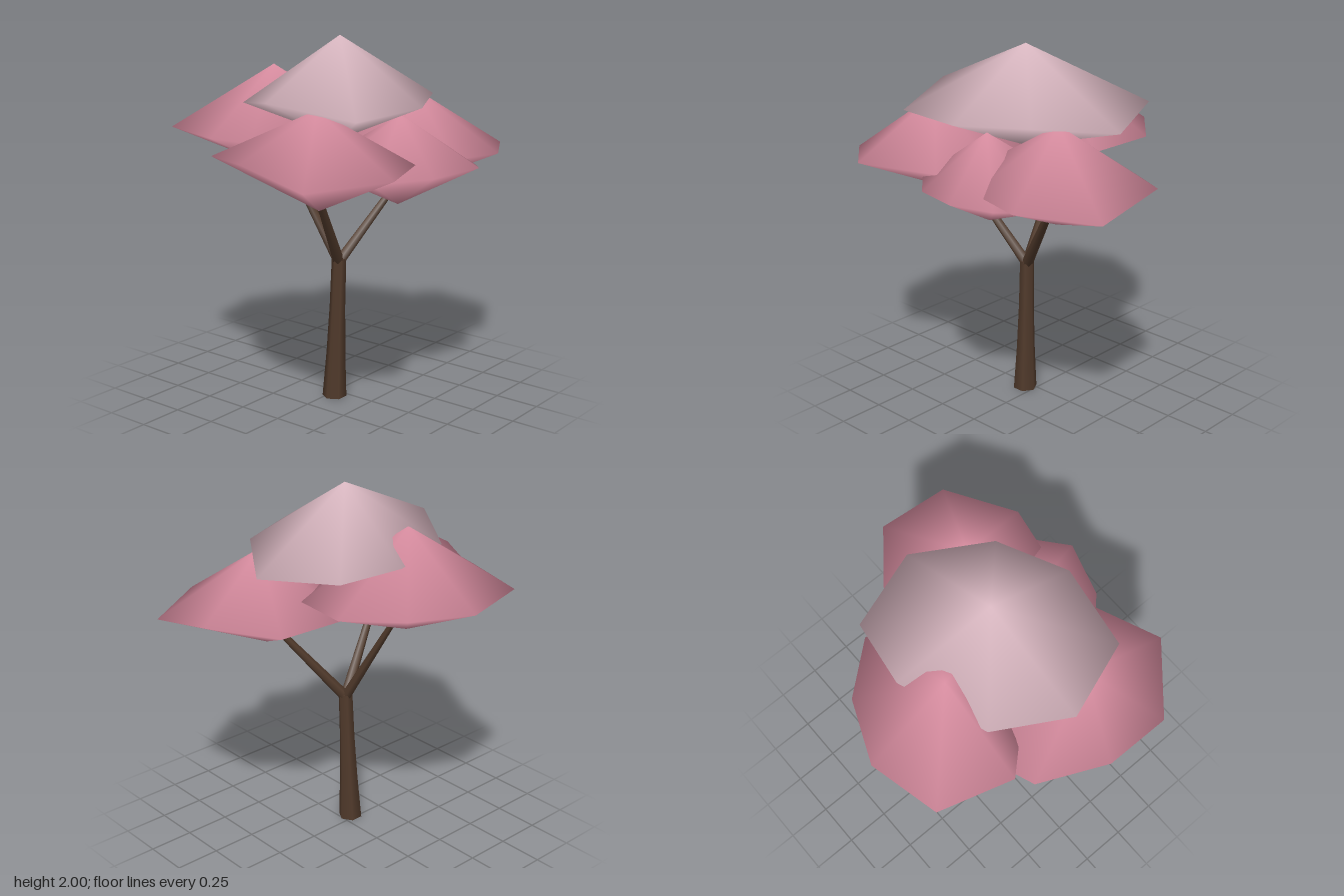
import * as THREE from 'three';

const blossom = new THREE.MeshStandardMaterial({ name: 'blossom pink', color: 0xe092a6 });
const paleBlossom = new THREE.MeshStandardMaterial({ name: 'pale blossom', color: 0xe2bfc9 });
const bark = new THREE.MeshStandardMaterial({ name: 'bark brown', color: 0x523b2c });

// Lens-shaped foliage: an uneven eight-point rim between a top and a bottom point.
// The rim runs from +x towards +z.
function puff(name, material, top, bottom, rim) {
  const n = rim.length;
  const index = [];
  for (let i = 0; i < n; i++) {
    const j = (i + 1) % n;
    index.push(n, j, i, n + 1, i, j);
  }
  const geometry = new THREE.BufferGeometry();
  geometry.setAttribute('position', new THREE.Float32BufferAttribute([...rim, top, bottom].flat(), 3));
  geometry.setIndex(index);
  geometry.computeVertexNormals();
  const mesh = new THREE.Mesh(geometry, material);
  mesh.name = name;
  return mesh;
}

// Tapered six-sided branch between two points
function branch(name, from, to) {
  const a = new THREE.Vector3(...from), b = new THREE.Vector3(...to);
  const dir = b.clone().sub(a);
  const mesh = new THREE.Mesh(new THREE.CylinderGeometry(0.016, 0.031, dir.length(), 6), bark);
  mesh.position.copy(a).add(b).multiplyScalar(0.5);
  mesh.quaternion.setFromUnitVectors(new THREE.Vector3(0, 1, 0), dir.normalize());
  mesh.name = name;
  return mesh;
}

// Six-sided trunk, flared at the foot and leaning slightly
function trunk() {
  const height = 0.79;
  const geometry = new THREE.CylinderGeometry(1, 1, height, 6, 3, false, Math.PI / 6);
  const p = geometry.attributes.position;
  for (let i = 0; i < p.count; i++) {
    const t = p.getY(i) / height + 0.5;
    const r = 0.04 + 0.027 * (1 - t) * (1 - t);
    p.setXYZ(i, p.getX(i) * r - 0.057 + 0.027 * t, t * height, p.getZ(i) * r + 0.035 + 0.01 * t);
  }
  const mesh = new THREE.Mesh(geometry, bark);
  mesh.name = 'trunk';
  return mesh;
}

export function createModel() {
  const tree = new THREE.Group();
  tree.name = 'blossomTree';
  const fork = [-0.03, 0.77, 0.045];

  tree.add(
    trunk(),
    branch('leftBranch', fork, [0.35, 1.28, 0.245]),
    branch('rightBranch', fork, [-0.41, 1.29, 0.185]),
    branch('backBranch', fork, [-0.08, 1.36, -0.31]),

    puff('topFoliage', paleBlossom, [-0.03, 2, 0.05], [-0.03, 1.45, 0.05], [
      [0.585, 1.63, 0.02], [0.33, 1.685, 0.395], [-0.03, 1.67, 0.575], [-0.48, 1.65, 0.505],
      [-0.64, 1.72, 0.07], [-0.41, 1.66, -0.29], [0.06, 1.69, -0.47], [0.42, 1.68, -0.415],
    ]),
    puff('leftFoliage', blossom, [0.38, 1.685, 0.25], [0.36, 1.155, 0.24], [
      [0.875, 1.35, 0.49], [0.5, 1.37, 0.705], [0.17, 1.38, 0.64], [-0.07, 1.4, 0.42],
      [-0.08, 1.4, 0.06], [0.2, 1.38, -0.22], [0.58, 1.36, -0.16], [0.875, 1.43, 0.08],
    ]),
    puff('rightFoliage', blossom, [-0.49, 1.69, 0.27], [-0.45, 1.17, 0.25], [
      [0, 1.4, 0.32], [-0.13, 1.4, 0.61], [-0.54, 1.41, 0.775], [-0.87, 1.37, 0.495],
      [-0.88, 1.46, 0.11], [-0.71, 1.43, -0.24], [-0.38, 1.41, -0.36], [-0.08, 1.4, -0.1],
    ]),
    puff('frontFoliage', blossom, [0.03, 1.61, 0.4], [0.03, 1.135, 0.39], [
      [0.44, 1.3, 0.47], [0.34, 1.33, 0.67], [0.165, 1.36, 0.797], [-0.12, 1.34, 0.715],
      [-0.35, 1.32, 0.5], [-0.35, 1.34, 0.2], [-0.08, 1.35, -0.02], [0.28, 1.33, 0.06],
    ]),
    puff('backFoliage', blossom, [-0.13, 1.83, -0.32], [-0.13, 1.265, -0.32], [
      [0.36, 1.47, -0.05], [0.05, 1.47, 0.13], [-0.5, 1.47, -0.16], [-0.64, 1.5, -0.31],
      [-0.52, 1.5, -0.71], [-0.13, 1.49, -0.8], [0.2, 1.5, -0.66], [0.42, 1.49, -0.4],
    ]),
  );
  return tree;
}
